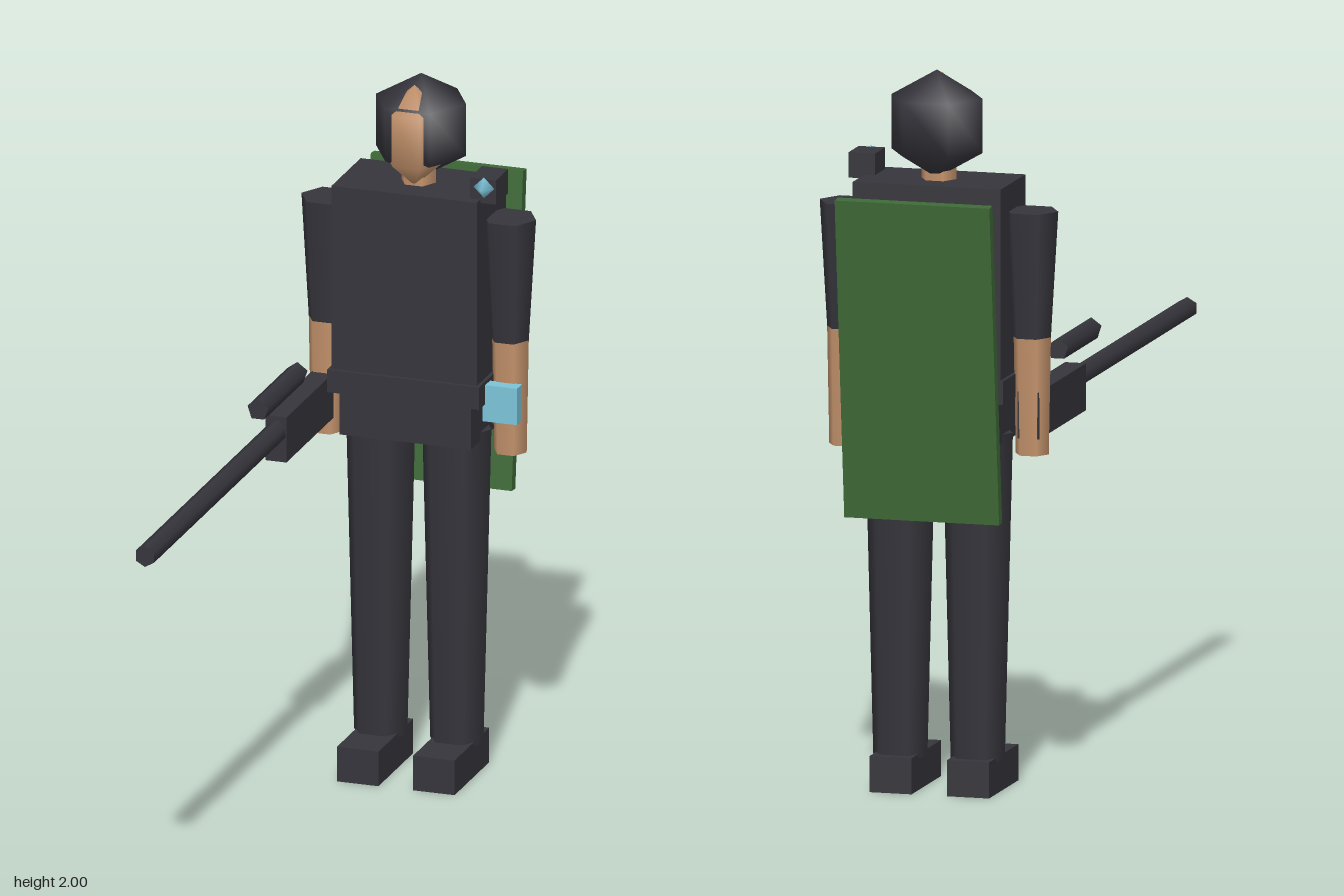
import * as THREE from 'three';

export function createModel() {
  const model = new THREE.Group();
  model.name = 'armouredFigure';

  const mat = (name, color) => {
    const m = new THREE.MeshStandardMaterial({ color });
    m.name = name;
    return m;
  };
  const dark = mat('charcoal', 0x36353c);
  const skin = mat('skin', 0xc4936c);
  const cyan = mat('paleCyan', 0x7cc4d8);
  const green = mat('darkGreen', 0x3e6a37);

  const add = (name, geometry, material, x, y, z) => {
    const mesh = new THREE.Mesh(geometry, material);
    mesh.name = name;
    mesh.position.set(x, y, z);
    model.add(mesh);
    return mesh;
  };
  const box = (name, material, w, h, d, x, y, z) =>
    add(name, new THREE.BoxGeometry(w, h, d), material, x, y, z);
  // Six-sided tapered limb spanning y0..y1, with corners facing the sides
  const limb = (name, material, rTop, rBottom, y0, y1, x, z) =>
    add(name, new THREE.CylinderGeometry(rTop, rBottom, y1 - y0, 6).rotateY(Math.PI / 6),
      material, x, (y0 + y1) / 2, z);
  // Rod lying along z, from z0 to z1
  const rod = (name, radius, sides, z0, z1, x, y) =>
    add(name, new THREE.CylinderGeometry(radius, radius, z1 - z0, sides).rotateX(-Math.PI / 2),
      dark, x, y, (z0 + z1) / 2);

  const bodyZ = -0.62;

  // Head, face and neck
  add('hood', new THREE.SphereGeometry(0.15, 6, 3), dark, 0, 1.85, -0.64);
  const face = add('face', new THREE.SphereGeometry(0.092, 6, 3), skin, 0, 1.838, -0.585);
  face.scale.y = 1.58;
  limb('neck', skin, 0.05, 0.05, 1.66, 1.78, 0, bodyZ);

  // Trunk
  box('torso', dark, 0.42, 0.56, 0.24, 0, 1.415, bodyZ);
  box('belt', dark, 0.44, 0.065, 0.26, 0, 1.133, bodyZ);
  box('pelvis', dark, 0.38, 0.15, 0.22, 0, 1.05, bodyZ);

  // Limbs
  for (const [side, s] of [['left', 1], ['right', -1]]) {
    limb(side + 'Leg', dark, 0.1, 0.077, 0.09, 1.0, s * 0.11, bodyZ);
    box(side + 'Boot', dark, 0.12, 0.1, 0.285, s * 0.11, 0.05, -0.573);
    limb(side + 'Sleeve', dark, 0.076, 0.055, 1.27, 1.62, s * 0.263, bodyZ);
    limb(side + 'Forearm', skin, 0.053, 0.047, 0.945, 1.27, s * 0.265, bodyZ);
  }

  // Wrist device and shoulder lamp
  box('wristDevice', cyan, 0.1, 0.105, 0.04, 0.262, 1.103, -0.56);
  box('shoulderMount', dark, 0.075, 0.07, 0.1, 0.217, 1.72, -0.58);
  add('shoulderLens', new THREE.SphereGeometry(0.03, 4, 2), cyan, 0.22, 1.73, -0.53);

  // Long rifle in the right hand, with its sight floating above
  box('rifleBody', dark, 0.06, 0.13, 0.46, -0.265, 1.057, -0.43);
  rod('rifleBarrel', 0.03, 6, -0.21, 0.885, -0.263, 1.08);
  rod('rifleSight', 0.031, 5, -0.375, -0.05, -0.265, 1.19);

  // Tilted panel behind the back
  const panel = box('backPanel', green, 0.44, 0.9, 0.03, 0, 1.222, -0.82);
  panel.rotation.x = -0.104;

  return model;
}
